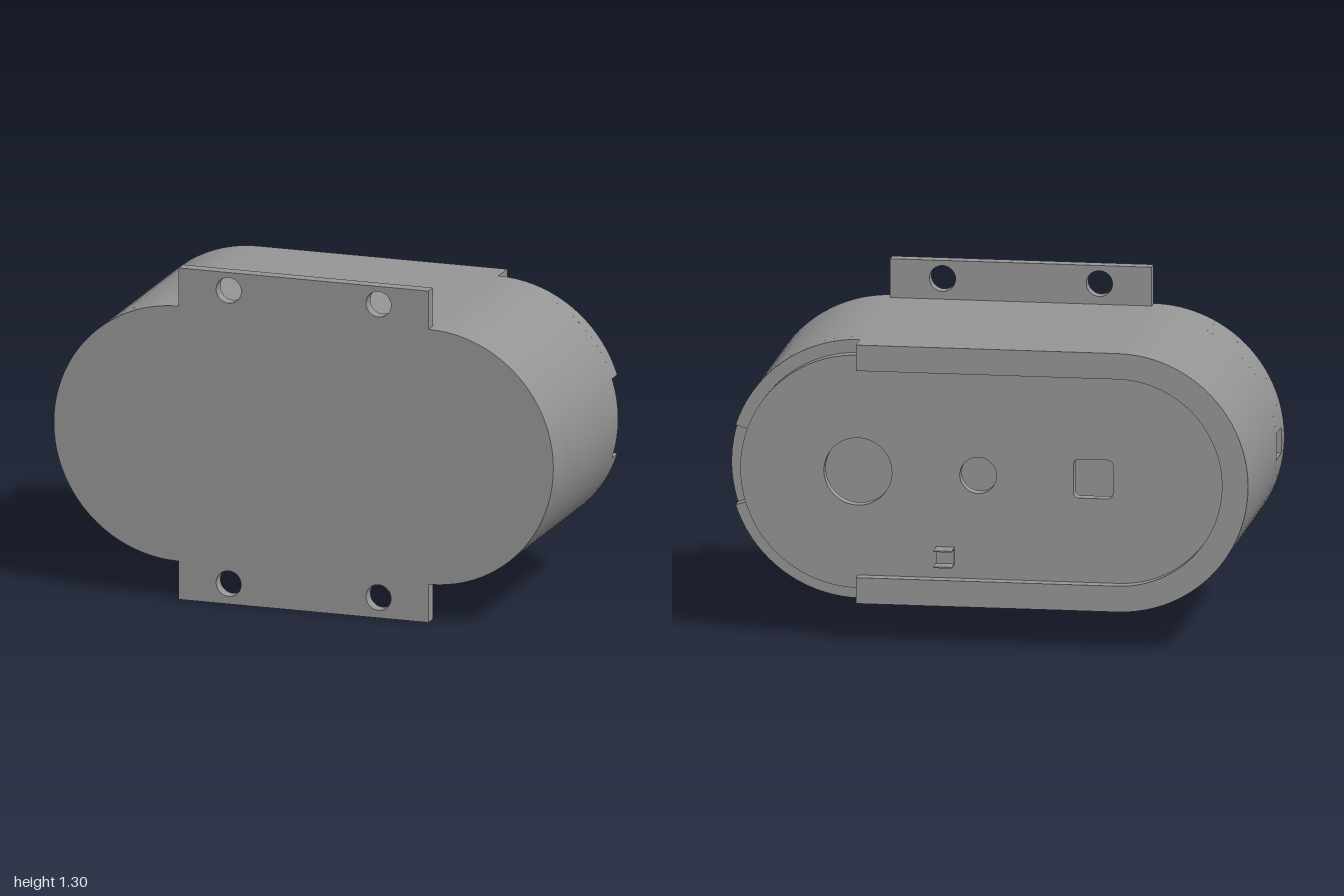
import * as THREE from 'three';
import { toCreasedNormals } from 'three/addons/utils/BufferGeometryUtils.js';

const H = Math.PI / 2, CY = 0.65, R = 0.5, INNER = 0.4, LID_R = 0.45;

// Points of an arc around (cx, CY); equal angles give a single point
function arc(cx, r, a0, a1) {
  const n = a0 === a1 ? 0 : Math.max(2, Math.ceil(Math.abs(a1 - a0) * 14));
  const pts = [];
  for (let i = 0; i <= n; i++) {
    const a = n ? a0 + (a1 - a0) * i / n : a0;
    pts.push(new THREE.Vector2(cx + r * Math.cos(a), CY + r * Math.sin(a)));
  }
  return pts;
}

const stadium = (r) => [...arc(0.5, r, -H, H), ...arc(-0.5, r, H, 3 * H)];

// Open stretch of wall following a list of [centre x, start angle, end angle]
function wallShape(steps, inner) {
  const side = (r) => steps.flatMap(([cx, a0, a1]) => arc(cx, r, a0, a1));
  return new THREE.Shape([...side(R), ...side(inner).reverse()]);
}

function circleHole(x, y, r) {
  return new THREE.Path().absarc(x, y, r, 0, Math.PI * 2, true);
}

function roundedSquareHole(x, y, h, r) {
  const p = new THREE.Path();
  p.absarc(x + h - r, y + h - r, r, 0, H, false);
  p.absarc(x - h + r, y + h - r, r, H, 2 * H, false);
  p.absarc(x - h + r, y - h + r, r, 2 * H, 3 * H, false);
  p.absarc(x + h - r, y - h + r, r, 3 * H, 4 * H, false);
  return p;
}

export function createModel() {
  const model = new THREE.Group();
  model.name = 'wallMountedEnclosure';
  const grey = new THREE.MeshStandardMaterial({ color: 0x959595 });
  grey.name = 'grey plastic';

  const add = (name, geometry) => {
    const mesh = new THREE.Mesh(geometry, grey);
    mesh.name = name;
    model.add(mesh);
    return mesh;
  };
  const slab = (name, shape, z0, z1) => {
    const g = new THREE.ExtrudeGeometry(shape, { depth: z1 - z0, bevelEnabled: false, curveSegments: 24 });
    g.translate(0, 0, z0);
    return add(name, toCreasedNormals(g, 0.5));
  };

  // Front plate with its two drilled mounting flanges
  const V = (x, y) => new THREE.Vector2(x, y);
  const plate = new THREE.Shape([
    V(-0.5, 0), V(0.5, 0), ...arc(0.5, R, -H, H),
    V(0.5, 1.3), V(-0.5, 1.3), ...arc(-0.5, R, H, 3 * H),
  ]);
  for (const x of [-0.3, 0.3]) for (const y of [0.08, 1.23]) plate.holes.push(circleHole(x, y, 0.05));
  slab('frontPlate', plate, 0.415, 0.465);

  // Hollow body, in layers so that the openings pass through the wall
  const rightEnd = [0.5, -H, H], leftEnd = [-0.5, H, 3 * H];
  const slotStart = [0.19, -H, -H], slotEnd = [-0.14, -H, -H];
  const slotted = wallShape([slotStart, rightEnd, leftEnd, slotEnd], INNER);
  slab('slottedWallFront', slotted, 0.4, 0.415);
  const port = 0.1;
  slab('portWallUpper', wallShape([slotStart, rightEnd, [-0.5, H, 2 * H - port]], INNER), 0.28, 0.4);
  slab('portWallLower', wallShape([[-0.5, 2 * H + port, 3 * H], slotEnd], INNER), 0.28, 0.4);
  slab('slottedWallBack', slotted, 0.157, 0.28);

  const ring = new THREE.Shape(stadium(R));
  ring.holes.push(new THREE.Path(stadium(INNER)));
  slab('bodyWall', ring, -0.28, 0.157);

  // Finger notch at the open end
  const notch = 0.315;
  slab('notchedWall', wallShape([[0.5, notch, H], leftEnd, [0.5, -H, -notch]], INNER), -0.34, -0.28);

  // Lid channel and the lip over it, open at one end
  const rail = [[0.5, H, H], leftEnd, [0.5, -H, -H]];
  slab('lidChannel', wallShape(rail, LID_R), -0.39, -0.34);
  slab('lidLip', wallShape(rail, INNER), -0.44, -0.39);

  // Sliding lid with its openings
  const lid = new THREE.Shape(stadium(LID_R));
  lid.holes.push(
    circleHole(0.5, CY, 0.13),
    circleHole(0.04, CY, 0.07),
    roundedSquareHole(-0.4, CY, 0.075, 0.02),
  );
  slab('lid', lid, -0.39, -0.34);

  // Small clip on the lid
  for (const y of [0.305, 0.367]) {
    add('clipPlate', new THREE.BoxGeometry(0.07, 0.005, 0.075)).position.set(0.165, y, -0.4275);
  }
  add('clipBase', new THREE.BoxGeometry(0.07, 0.06, 0.012)).position.set(0.165, 0.336, -0.395);

  return model;
}
